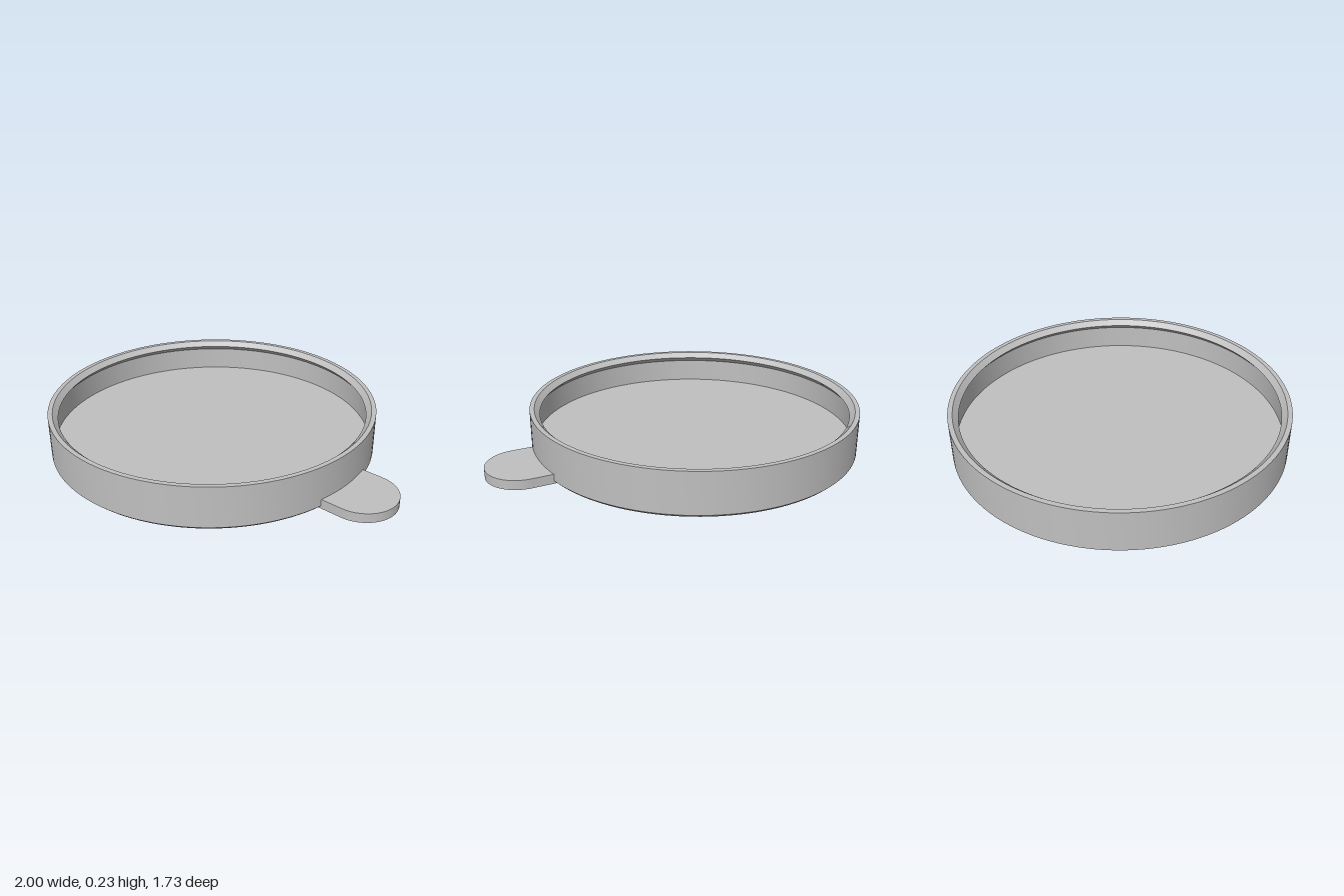
import * as THREE from 'three';
import { toCreasedNormals } from 'three/addons/utils/BufferGeometryUtils.js';

const CENTER_X = -0.135; // axis of the round cap
const R = 0.865;         // outer radius
const HEIGHT = 0.23;
const FLOOR = 0.05;      // floor and tab thickness
const CHAMFER = 0.014;

export function createModel() {
  const model = new THREE.Group();
  model.name = 'snapLid';

  const grey = new THREE.MeshStandardMaterial({ color: 0xc0c0c0 });
  grey.name = 'light grey plastic';

  const add = (name, geometry) => {
    const mesh = new THREE.Mesh(toCreasedNormals(geometry, Math.PI / 6), grey);
    mesh.name = name;
    model.add(mesh);
    return mesh;
  };

  // Round tray: chamfered base, straight wall, inner snap bead under the rim
  const wallInner = R - 0.024;
  const bead = 0.027;
  const profile = [
    [0, 0],
    [R - CHAMFER, 0],
    [R, CHAMFER],
    [R, HEIGHT],
    [wallInner, HEIGHT],
    [wallInner - bead, HEIGHT - bead],
    [wallInner, HEIGHT - 2 * bead],
    [wallInner, FLOOR],
    [0, FLOOR],
  ].map(([r, y]) => new THREE.Vector2(r, y));
  add('lid', new THREE.LatheGeometry(profile, 128)).position.x = CENTER_X;

  // Pull tab: straight sides, round end, inner edge following the lid's base
  const half = 0.178;
  const baseR = R - CHAMFER;
  const angle = Math.asin(half / baseR);
  const outline = new THREE.Shape();
  outline.moveTo(CENTER_X + baseR * Math.cos(angle), -half);
  outline.lineTo(1 - half, -half);
  outline.absarc(1 - half, 0, half, -Math.PI / 2, Math.PI / 2, false);
  outline.lineTo(CENTER_X + baseR * Math.cos(angle), half);
  outline.absarc(CENTER_X, 0, baseR, angle, -angle, true);
  const tab = new THREE.ExtrudeGeometry(outline, {
    depth: FLOOR, bevelEnabled: false, curveSegments: 32,
  });
  tab.rotateX(-Math.PI / 2);
  add('pullTab', tab);

  return model;
}
